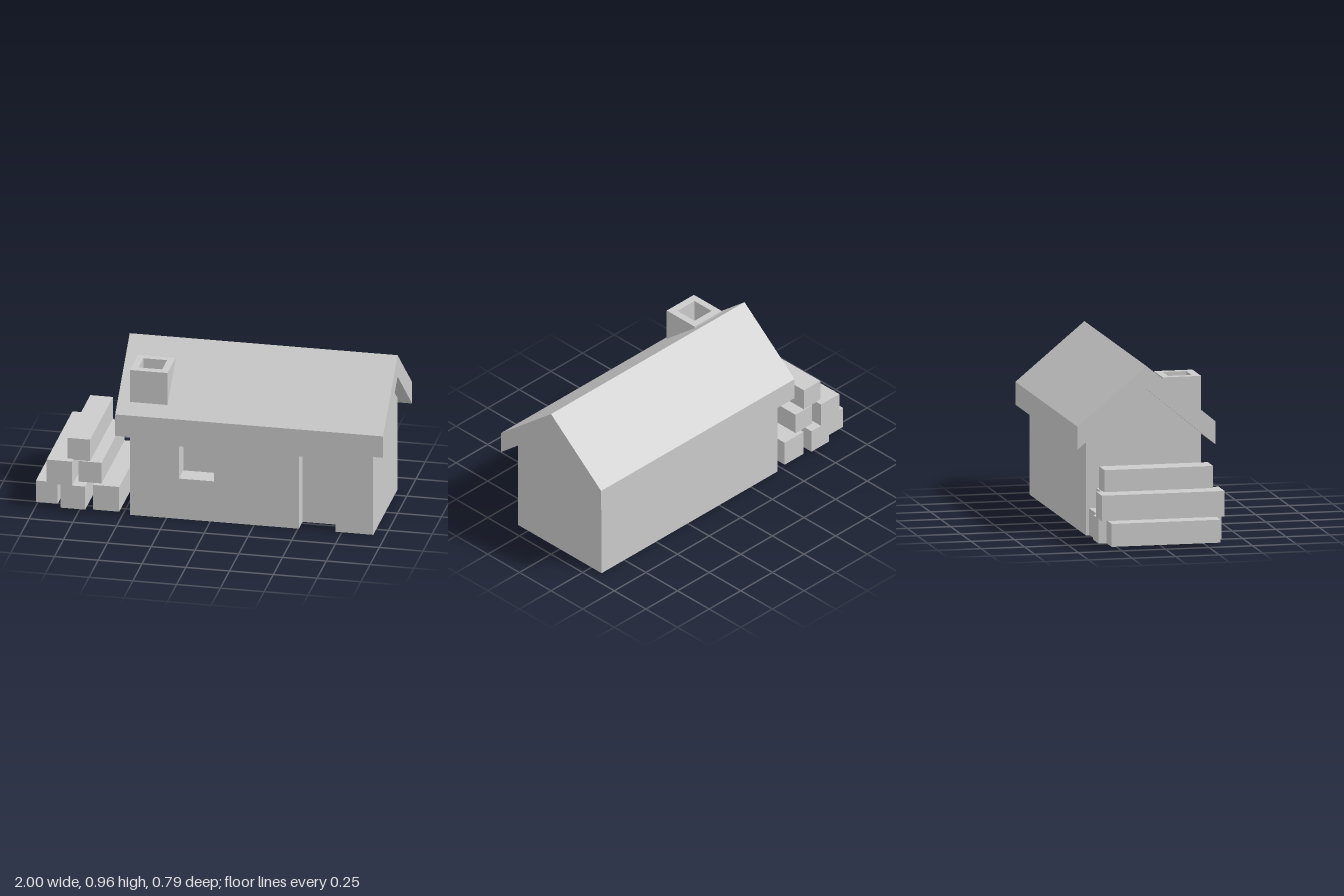
import * as THREE from 'three';
import { mergeGeometries } from 'three/addons/utils/BufferGeometryUtils.js';

const SLOPE = 0.83;
const roofUnder = (z) => 0.83 - Math.abs(z) * SLOPE;
const roofTop = (z) => 0.96 - Math.abs(z) * SLOPE;

const material = new THREE.MeshStandardMaterial({ color: 0xcccccc, side: THREE.DoubleSide, flatShading: true });

function part(name, geometry, parent) {
  const mesh = new THREE.Mesh(geometry, material);
  mesh.name = name;
  parent.add(mesh);
  return mesh;
}

// Rectangle outline as a closed path or shape
function rect(Type, x0, x1, y0, y1) {
  return new Type([[x0, y0], [x1, y0], [x1, y1], [x0, y1]].map((p) => new THREE.Vector2(...p)));
}

// Box between two corners, optionally leaving out faces (0..5 = +x -x +y -y +z -z)
function box(x0, x1, y0, y1, z0, z1, omit = []) {
  const g = new THREE.BoxGeometry(x1 - x0, y1 - y0, z1 - z0);
  g.translate((x0 + x1) / 2, (y0 + y1) / 2, (z0 + z1) / 2);
  const index = Array.from(g.index.array);
  g.setIndex(index.filter((_, i) => !omit.includes(Math.floor(i / 6))));
  return g;
}

// Plan shape in x/z raised upright, its bottom and top heights given as rules of z
function upright(shape, bottom, top) {
  const g = new THREE.ExtrudeGeometry(shape, { depth: 1, bevelEnabled: false });
  g.rotateX(Math.PI / 2);
  const p = g.attributes.position;
  for (let i = 0; i < p.count; i++) {
    const z = p.getZ(i);
    p.setY(i, p.getY(i) > -0.5 ? top(z) : bottom(z));
  }
  g.computeVertexNormals();
  return g;
}

export function createModel() {
  const model = new THREE.Group();
  model.name = 'cabin';

  const X0 = -0.46, X1 = 0.93, Z = 0.33, eave = roofUnder(Z);
  const door = [0.505, 0.715], window_ = [-0.18, 0.02, 0.245, 0.44];

  // Walls: an open-bottomed shell
  const walls = new THREE.Group();
  walls.name = 'walls';
  model.add(walls);

  const front = new THREE.Shape([
    [X0, 0], [door[0], 0], [door[0], 0.44], [door[1], 0.44], [door[1], 0],
    [X1, 0], [X1, eave], [X0, eave],
  ].map((p) => new THREE.Vector2(...p)));
  front.holes.push(rect(THREE.Path, ...window_));
  part('frontWall', new THREE.ShapeGeometry(front).translate(0, 0, Z), walls);

  const back = new THREE.ShapeGeometry(rect(THREE.Shape, -X1, -X0, 0, eave));
  part('backWall', back.rotateY(Math.PI).translate(0, 0, -Z), walls);

  const gable = new THREE.Shape([[-Z, 0], [Z, 0], [Z, eave], [0, roofUnder(0)], [-Z, eave]]
    .map((p) => new THREE.Vector2(...p)));
  for (const [name, x, turn] of [['leftGable', X1, 1], ['rightGable', X0, -1]]) {
    part(name, new THREE.ShapeGeometry(gable).rotateY(turn * Math.PI / 2).translate(x, 0, 0), walls);
  }

  // Recesses pushed into the front wall
  part('doorRecess', box(...door, 0, 0.44, Z - 0.1, Z, [3, 4]), walls);
  part('windowRecess', box(...window_, Z - 0.12, Z, [4]), walls);

  // Chimney flue opening in plan
  const flue = [-0.42, -0.285, 0.15, 0.285];

  // Roof: two sloping slabs, the front one pierced by the flue
  const frontSlope = rect(THREE.Shape, -0.53, 1, 0, 0.396);
  frontSlope.holes.push(rect(THREE.Path, ...flue));
  const backSlope = rect(THREE.Shape, -0.53, 1, -0.396, 0);
  part('roof', mergeGeometries([frontSlope, backSlope].map((s) => upright(s, roofUnder, roofTop))), model);

  // Chimney: hollow stack whose foot follows the roof
  const chimney = new THREE.Group();
  chimney.name = 'chimney';
  model.add(chimney);
  const stack = rect(THREE.Shape, -0.46, -0.245, 0.11, 0.33);
  stack.holes.push(rect(THREE.Path, ...flue));
  part('chimneyStack', upright(stack, roofTop, () => 0.88), chimney);
  const floor = new THREE.PlaneGeometry(flue[1] - flue[0], flue[3] - flue[2]).rotateX(-Math.PI / 2);
  part('flueFloor', floor.translate((flue[0] + flue[1]) / 2, 0.715, (flue[2] + flue[3]) / 2), chimney);

  // Stacked square logs: x range, y range, half length
  const pile = new THREE.Group();
  pile.name = 'woodpile';
  model.add(pile);
  [
    [-1, -0.875, 0.025, 0.155, 0.312],
    [-0.85, -0.71, 0.02, 0.16, 0.352],
    [-0.67, -0.52, 0.015, 0.165, 0.33],
    [-0.93, -0.785, 0.16, 0.305, 0.352],
    [-0.755, -0.625, 0.17, 0.295, 0.312],
    [-0.82, -0.69, 0.3, 0.43, 0.312],
  ].forEach(([x0, x1, y0, y1, h], i) => {
    part('log' + (i + 1), box(x0, x1, y0, y1, -h + 0.003, h + 0.003), pile);
  });

  return model;
}
